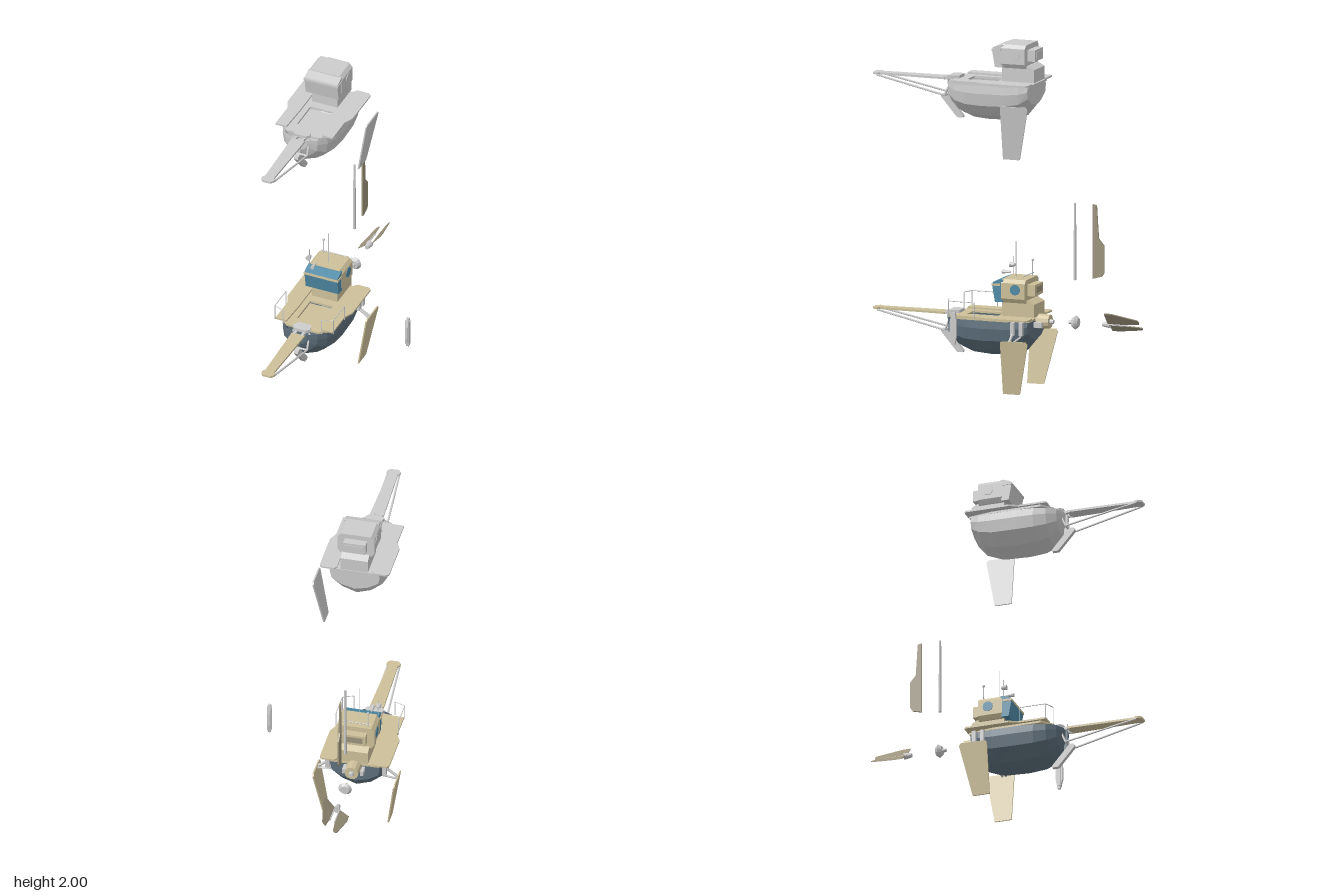
import * as THREE from 'three';

const GREY = 0xcccccc, TAN = 0xcdc09a, HULL = 0x5d6f7c, BLUE = 0x4f8aa6, KHAKI = 0x9c937c;

// A small kit that adds named meshes to one group
function kit(group, coloured) {
  const add = (name, geo, color = GREY) => {
    const mat = new THREE.MeshStandardMaterial({ color: coloured ? color : GREY, flatShading: true, side: THREE.DoubleSide });
    const m = new THREE.Mesh(geo, mat);
    m.name = name;
    group.add(m);
    return m;
  };
  const extrude = (pts, t, hole) => {
    const s = new THREE.Shape(pts.map(p => new THREE.Vector2(...p)));
    if (hole) s.holes.push(new THREE.Path(hole.map(p => new THREE.Vector2(...p))));
    return new THREE.ExtrudeGeometry(s, { depth: t, bevelEnabled: false }).translate(0, 0, -t / 2);
  };
  return {
    add,
    box: (name, w, h, d, x, y, z, c) => add(name, new THREE.BoxGeometry(w, h, d).translate(x, y, z), c),
    // side outline of [z, y] points, thickness along x
    side: (name, pts, t, x, c) => add(name, extrude(pts, t).rotateY(-Math.PI / 2).translate(x, 0, 0), c),
    // plan outline of [x, z] points, thickness along y
    plan: (name, pts, t, y, c, hole) => add(name, extrude(pts, t, hole).rotateX(Math.PI / 2).translate(0, y, 0), c),
    // front outline of [x, y] points, thickness along z
    front: (name, pts, t, z, c) => add(name, extrude(pts, t).translate(0, 0, z), c),
    rod: (name, a, b, r, c, r2 = r, n = 6) => {
      const A = new THREE.Vector3(...a), B = new THREE.Vector3(...b), d = B.clone().sub(A);
      const g = new THREE.CylinderGeometry(r2, r, d.length(), n);
      g.applyQuaternion(new THREE.Quaternion().setFromUnitVectors(new THREE.Vector3(0, 1, 0), d.normalize()));
      const m = A.add(B).multiplyScalar(0.5);
      return add(name, g.translate(m.x, m.y, m.z), c);
    },
  };
}

// Faceted hull lofted through [z, half width, keel height] stations
function hullGeometry() {
  const stations = [[-0.18, 0.145, 0.29], [-0.13, 0.16, 0.23], [-0.05, 0.168, 0.197], [0.1, 0.17, 0.19],
    [0.2, 0.162, 0.198], [0.27, 0.14, 0.225], [0.32, 0.1, 0.275], [0.345, 0.045, 0.335]];
  const top = 0.412, pos = [], idx = [];
  const half = [[0.97, 1], [1, 0.78], [0.93, 0.46], [0.52, 0.16], [0, 0]];
  const ring = [...half, ...half.slice(0, 4).reverse().map(([u, v]) => [-u, v])];
  const n = ring.length;
  for (const [z, w, k] of stations) for (const [u, v] of ring) pos.push(u * w, k + v * (top - k), z);
  for (let i = 0; i < stations.length - 1; i++) for (let j = 0; j < n; j++) {
    const a = i * n + j, b = i * n + (j + 1) % n;
    if (j < n - 1) idx.push(a, b, b + n, a, b + n, a + n); // deck side is closed by the deck
  }
  const last = (stations.length - 1) * n;
  for (let j = 1; j < n - 1; j++) idx.push(0, j + 1, j, last, last + j, last + j + 1);
  const g = new THREE.BufferGeometry();
  g.setAttribute('position', new THREE.Float32BufferAttribute(pos, 3));
  g.setIndex(idx);
  g.computeVertexNormals();
  return g;
}

function boat(coloured, finSides) {
  const group = new THREE.Group();
  const k = kit(group, coloured);
  k.add('hull', hullGeometry(), HULL);
  k.box('stem', 0.018, 0.13, 0.02, 0, 0.345, 0.345, HULL);

  // Deck with a sunken well and side plates
  const well = [[-0.07, 0.04], [-0.07, 0.225], [0.07, 0.225], [0.07, 0.04]];
  k.plan('deck', [[-0.14, -0.19], [0.14, -0.19], [0.165, -0.05], [0.165, 0.25], [0.1, 0.305], [-0.1, 0.305], [-0.165, 0.25], [-0.165, -0.05]],
    0.012, 0.415, TAN, well);
  k.box('wellFloor', 0.15, 0.008, 0.195, 0, 0.395, 0.132, TAN);
  for (const s of [-1, 1]) {
    k.plan('sidePlate', [[0.103, -0.185], [0.118, -0.2], [0.19, -0.2], [0.203, -0.185], [0.203, 0.065], [0.178, 0.12], [0.178, 0.285], [0.11, 0.285], [0.103, 0.12]]
      .map(([x, z]) => [s * x, z]), 0.01, 0.427, TAN);
  }

  // Bowsprit with hinge and braces
  k.plan('bowBracket', [[-0.055, 0.32], [-0.04, 0.275], [0.04, 0.275], [0.055, 0.32], [0.035, 0.34], [-0.035, 0.34]], 0.018, 0.428);
  k.plan('bowsprit', [[-0.04, 0.365], [0.04, 0.365], [0.028, 0.765], [0.04, 0.775], [0.04, 0.79], [0.025, 0.81], [-0.025, 0.81], [-0.04, 0.79], [-0.04, 0.775], [-0.028, 0.765]],
    0.012, 0.415, TAN);
  for (const s of [-1, 1]) {
    k.box('hinge', 0.016, 0.016, 0.05, s * 0.024, 0.415, 0.35);
    k.rod('bowspritBrace', [s * 0.052, 0.32, 0.36], [s * 0.034, 0.408, 0.78], 0.006);
    k.rod('braceFoot', [s * 0.052, 0.32, 0.36], [s * 0.05, 0.41, 0.32], 0.006);
  }
  k.rod('braceCrossbar', [-0.052, 0.32, 0.36], [0.052, 0.32, 0.36], 0.006);
  k.side('forefoot', [[0.4, 0.305], [0.395, 0.32], [0.37, 0.325], [0.265, 0.202], [0.265, 0.19], [0.3, 0.19]], 0.026, 0);

  // Cabin
  k.side('cabinBase', [[0, 0.43], [0, 0.515], [-0.16, 0.525], [-0.197, 0.505], [-0.197, 0.43]], 0.16, 0, TAN);
  const wide = [[-0.107, 0.535], [-0.09, 0.51], [0.09, 0.51], [0.107, 0.535], [0.107, 0.625], [0.088, 0.645], [-0.088, 0.645], [-0.107, 0.625]];
  k.front('cabin', wide, 0.145, -0.0775, TAN);
  k.side('visor', [[0.052, 0.612], [0.046, 0.626], [0, 0.642], [-0.015, 0.642], [-0.012, 0.512], [0.034, 0.512]], 0.205, 0, BLUE);
  k.side('visorBand', [[0.054, 0.605], [0.053, 0.618], [0, 0.618], [0, 0.605]], 0.214, 0, TAN);
  k.box('rearLocker', 0.13, 0.065, 0.046, 0, 0.583, -0.172, TAN);
  k.box('rearWindow', 0.1, 0.035, 0.004, 0, 0.585, -0.196, KHAKI);
  for (const s of [-1, 1]) {
    k.rod('porthole', [s * 0.1, 0.588, -0.09], [s * 0.11, 0.588, -0.09], 0.032, BLUE, 0.03, 16);
  }

  // Raked side fins
  for (const s of finSides) {
    const fin = k.side('fin', [[-0.05, 0.305], [-0.06, 0.312], [-0.205, 0.315], [-0.217, 0.3], [-0.152, 0.003], [-0.145, 0], [-0.05, 0]], 0.008, 0, TAN);
    const p = fin.geometry.attributes.position;
    for (let i = 0; i < p.count; i++) p.setX(i, p.getX(i) + s * (0.187 + 0.16 * p.getY(i)));
    fin.geometry.computeVertexNormals();
  }
  return { group, k };
}

// Gear found only on the painted boat
function addGear(k) {
  for (const s of [-1, 1]) {
    // Guard rail
    const pts = [[0.182, 0.13], [0.182, 0.285], [0.12, 0.31]].map(([x, z]) => [s * x, 0.513, z]);
    k.rod('rail', pts[0], pts[1], 0.0025);
    k.rod('rail', pts[1], pts[2], 0.0025);
    for (const [x, y, z] of pts) k.rod('railPost', [x, y, z], [x, 0.42, z], 0.0025);
    // Fin arms and hull brackets
    k.rod('finArm', [s * 0.15, 0.36, -0.1], [s * 0.232, 0.3, -0.1], 0.008);
    k.rod('finArm', [s * 0.15, 0.325, -0.14], [s * 0.232, 0.3, -0.12], 0.006);
    for (const z of [-0.1, -0.15]) k.box('armBracket', 0.025, 0.075, 0.022, s * 0.166, 0.375, z);
  }
  // Stern engine
  k.rod('engineHousing', [0, 0.4, -0.19], [0, 0.4, -0.265], 0.044, TAN, 0.04, 12);
  k.rod('engineShaft', [0, 0.4, -0.26], [0, 0.4, -0.285], 0.016, GREY, 0.012, 10);
  for (const s of [-1, 1]) k.box('engineMount', 0.02, 0.03, 0.05, s * 0.052, 0.385, -0.21);
  // Roof gear
  k.rod('aerial', [0, 0.64, -0.055], [0, 0.85, -0.055], 0.002);
  k.rod('aerial', [-0.065, 0.64, -0.13], [-0.065, 0.735, -0.13], 0.003);
  k.add('aerialKnob', new THREE.SphereGeometry(0.008, 8, 6).translate(-0.065, 0.738, -0.13));
  k.rod('lampPost', [-0.095, 0.63, 0], [-0.095, 0.745, 0], 0.0025);
  k.rod('searchLamp', [-0.095, 0.695, -0.01], [-0.095, 0.695, 0.02], 0.01, GREY, 0.016, 10);
  k.rod('horn', [-0.055, 0.66, 0], [-0.055, 0.66, 0.05], 0.006, GREY, 0.012, 8);
  k.rod('roofRail', [-0.08, 0.662, -0.13], [0.08, 0.662, -0.13], 0.003);

  // Loose mast and long blade
  k.rod('mast', [0, 0.65, -0.415], [0, 1.095, -0.415], 0.009, GREY, 0.007, 8);
  k.side('longBlade', [[-0.525, 1.095], [-0.548, 1.09], [-0.56, 0.9], [-0.593, 0.86], [-0.593, 0.7], [-0.58, 0.68], [-0.525, 0.665]], 0.01, 0, KHAKI);
  // Loose hub
  k.rod('hubShaft', [0, 0.405, -0.378], [0, 0.405, -0.41], 0.01, GREY, 0.014, 10);
  k.rod('hubDisc', [0, 0.405, -0.4], [0, 0.405, -0.42], 0.026, GREY, 0.04, 12);
  k.rod('hubRim', [0, 0.405, -0.42], [0, 0.405, -0.437], 0.04, GREY, 0.026, 12);
  // Folded propeller
  k.rod('propellerHub', [0, 0.405, -0.585], [0, 0.405, -0.63], 0.012, GREY, 0.02, 10);
  for (const s of [-1, 1]) {
    k.rod('propellerLink', [s * 0.014, 0.405 + s * 0.004, -0.61], [s * 0.014, 0.405 + s * 0.004, -0.74], 0.004);
    const blade = k.plan('propellerBlade', [[0.016, -0.62], [0.068, -0.618], [0.069, -0.66], [0.042, -0.81], [0.034, -0.818], [0.022, -0.815], [0.016, -0.74]]
      .map(([x, z]) => [s * x, z]), 0.006, 0.408, KHAKI);
    const p = blade.geometry.attributes.position;
    for (let i = 0; i < p.count; i++) p.setY(i, p.getY(i) + s * 0.008 + (Math.abs(p.getX(i)) - 0.016) * (s > 0 ? 1.2 : -0.75));
    blade.geometry.computeVertexNormals();
  }
  // Loose float
  k.side('float', [[0.113, 0.525], [0.094, 0.525], [0.085, 0.47], [0.085, 0.39], [0.096, 0.335], [0.11, 0.335], [0.125, 0.39], [0.125, 0.47]], 0.016, 0.565);
  k.box('floatCore', 0.026, 0.16, 0.022, 0.565, 0.43, 0.105);
}

export function createModel() {
  const root = new THREE.Group();
  root.name = 'boatKit';
  const painted = boat(true, [-1, 1]);
  painted.group.name = 'paintedBoat';
  painted.group.position.x = -0.172;
  addGear(painted.k);
  const plain = boat(false, [1]);
  plain.group.name = 'plainBoat';
  plain.group.position.set(-0.172, 1.355, 0);
  root.add(painted.group, plain.group);
  return root;
}
